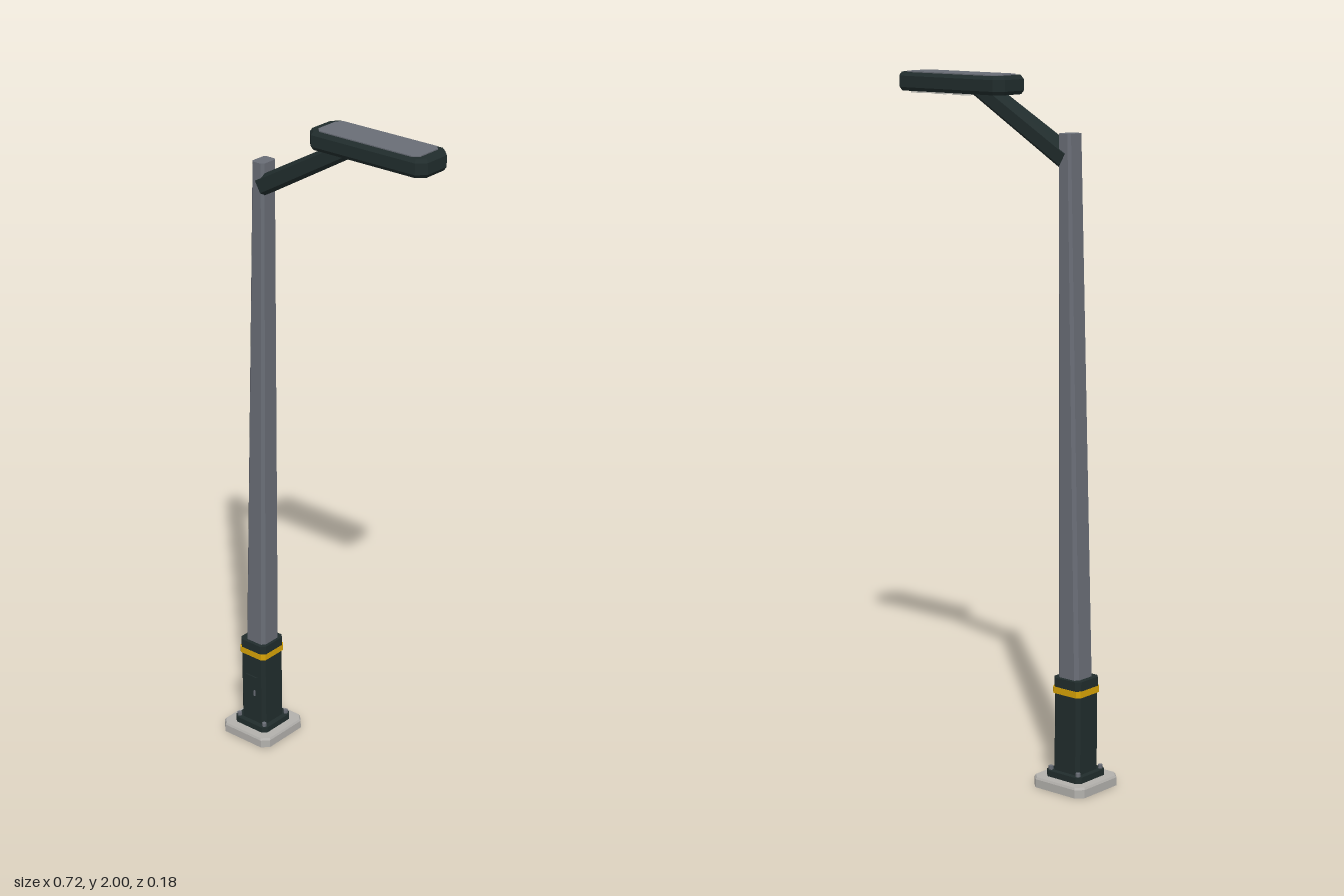
import * as THREE from 'three';

const mat = (name, color) => {
  const m = new THREE.MeshStandardMaterial({ color, flatShading: true });
  m.name = name;
  return m;
};

// Lofted chamfered rectangles; each section is [y, halfX, halfZ, chamfer, centreX]
function loft(sections) {
  const rings = sections.map(([y, hx, hz, c, cx = 0]) => [
    [hx, hz - c], [hx - c, hz], [c - hx, hz], [-hx, hz - c],
    [-hx, c - hz], [c - hx, -hz], [hx - c, -hz], [hx, c - hz],
  ].map(([x, z]) => [x + cx, y, z]));
  const pos = [];
  const tri = (a, b, c) => pos.push(...a, ...b, ...c);
  for (let s = 0; s < rings.length - 1; s++) {
    const lo = rings[s], hi = rings[s + 1];
    for (let i = 0; i < 8; i++) {
      const j = (i + 1) % 8;
      tri(lo[i], hi[j], lo[j]);
      tri(lo[i], hi[i], hi[j]);
    }
  }
  const first = rings[0], last = rings[rings.length - 1];
  for (let i = 1; i < 7; i++) {
    tri(first[0], first[i], first[i + 1]);
    tri(last[0], last[i + 1], last[i]);
  }
  const g = new THREE.BufferGeometry();
  g.setAttribute('position', new THREE.Float32BufferAttribute(pos, 3));
  g.computeVertexNormals();
  return g;
}

export function createModel() {
  const concrete = mat('concrete', 0xb3b1ad);
  const dark = mat('dark metal', 0x212d2d);
  const steel = mat('grey steel', 0x6a6e77);
  const yellow = mat('yellow band', 0xd9a406);
  const lensMat = mat('pale lens', 0xe4e2da);

  const model = new THREE.Group();
  model.name = 'streetLight';
  const add = (name, geometry, material, x = 0, y = 0, z = 0, parent = model) => {
    const m = new THREE.Mesh(geometry, material);
    m.name = name;
    m.position.set(x, y, z);
    parent.add(m);
    return m;
  };
  const px = -0.271;

  // Footing, flange and lower sleeve
  add('footing', loft([[0, 0.092, 0.092, 0.02], [0.024, 0.092, 0.092, 0.02], [0.03, 0.089, 0.089, 0.02]]), concrete, px);
  add('flange', loft([[0.03, 0.063, 0.063, 0.012], [0.048, 0.063, 0.063, 0.012]]), dark, px);
  add('sleeve', loft([[0.048, 0.047, 0.047, 0.01], [0.3, 0.047, 0.047, 0.01]]), dark, px);
  add('collar', loft([[0.295, 0.049, 0.049, 0.012], [0.322, 0.049, 0.049, 0.012]]), dark, px);
  add('warningBand', loft([[0.276, 0.05, 0.05, 0.009], [0.295, 0.05, 0.05, 0.009]]), yellow, px);

  // Anchor bolts
  for (const sx of [-1, 1]) for (const sz of [-1, 1]) {
    add('anchorBolt', new THREE.CylinderGeometry(0.007, 0.007, 0.012, 6), steel, px + sx * 0.05, 0.053, sz * 0.05);
  }

  // Access door with a small latch
  add('accessDoor', new THREE.BoxGeometry(0.044, 0.11, 0.006), dark, px, 0.152, 0.048);
  add('doorLatch', new THREE.BoxGeometry(0.005, 0.018, 0.004), steel, px + 0.014, 0.152, 0.052);

  // Tapered, slightly leaning pole
  add('pole', loft([
    [0.31, 0.037, 0.038, 0.01, -0.268],
    [1.85, 0.0215, 0.029, 0.007, -0.2385],
  ]), steel);

  // Sloping arm
  const arm = add('arm', loft([
    [0, 0.028, 0.031, 0.01],
    [0.375, 0.025, 0.026, 0.009],
  ]), dark, -0.235, 1.78, 0);
  arm.rotation.z = -Math.atan2(0.325, 0.185);

  // Lamp head with top panel and three lenses underneath
  const hx = 0.161;
  add('lampHead', loft([
    [1.945, 0.193, 0.058, 0.022],
    [1.955, 0.199, 0.064, 0.024],
    [1.987, 0.199, 0.064, 0.024],
    [1.997, 0.192, 0.057, 0.02],
  ]), dark, hx);
  add('topPanel', loft([[1.994, 0.172, 0.052, 0.015], [2, 0.172, 0.052, 0.015]]), steel, hx);
  for (const x of [0.135, 0.214, 0.293]) {
    add('lens', loft([[1.939, 0.03, 0.039, 0.008], [1.947, 0.032, 0.041, 0.008]]), lensMat, x);
  }
  return model;
}
